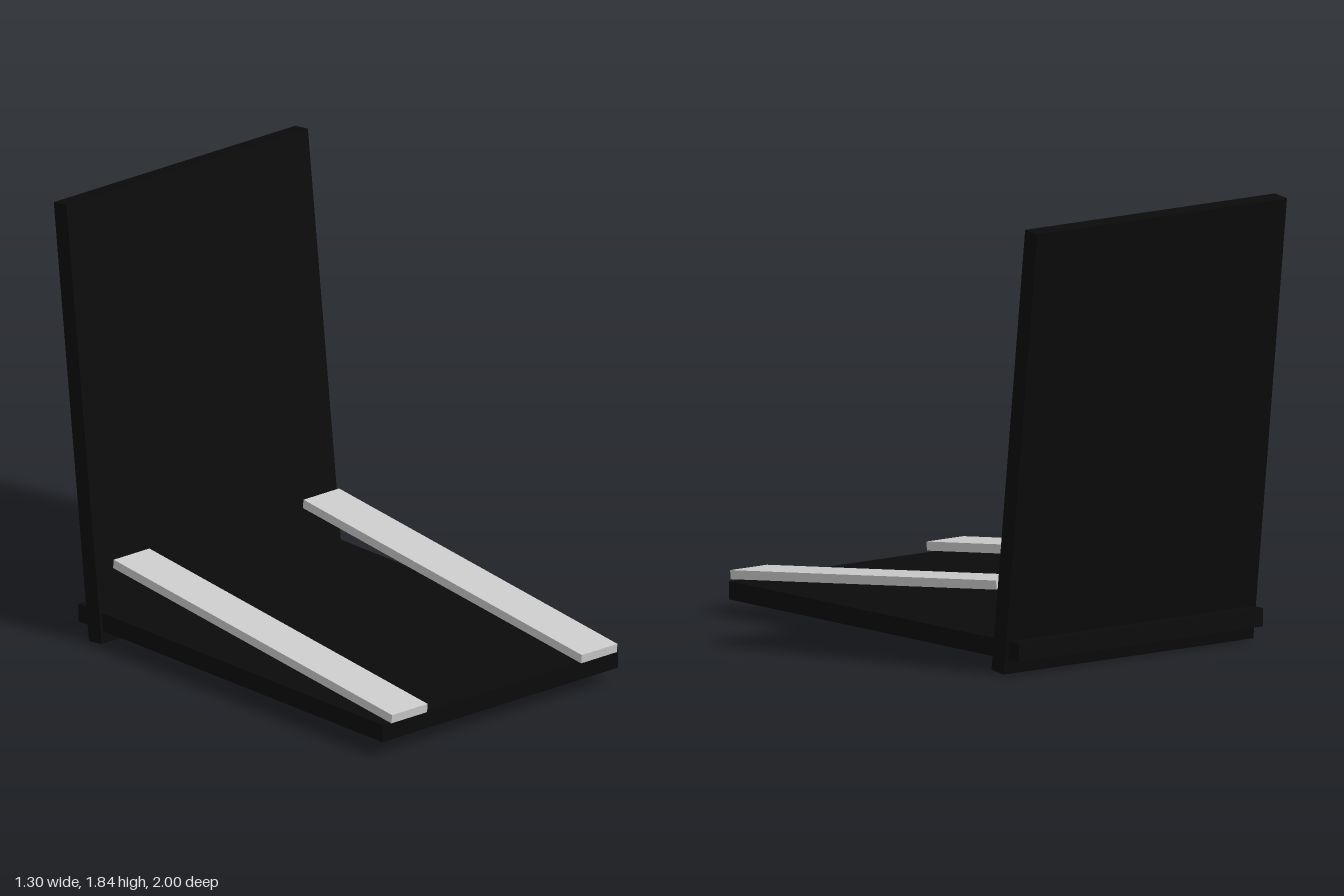
import * as THREE from 'three';

export function createModel() {
  const group = new THREE.Group();
  const black = new THREE.MeshStandardMaterial({ color: 0x0a0a0a });
  const grey = new THREE.MeshStandardMaterial({ color: 0xcccccc });

  // A box slab tilted about the x axis
  function slab(name, material, size, position, tilt = 0) {
    const mesh = new THREE.Mesh(new THREE.BoxGeometry(...size), material);
    mesh.name = name;
    mesh.position.set(...position);
    mesh.rotation.x = tilt;
    group.add(mesh);
  }

  // Flat seat running through the foot of the reclined back
  slab('seat', black, [1.272, 0.075, 1.839], [-0.003, 0.099, 0.058]);
  slab('backrest', black, [1.302, 1.842, 0.077], [0, 0.92, -0.853], -0.116);

  // Sloping armrests, lowest at the front
  slab('leftArmrest', grey, [0.192, 0.037, 1.696], [0.514, 0.253, 0.154], 0.113);
  slab('rightArmrest', grey, [0.192, 0.037, 1.696], [-0.509, 0.253, 0.154], 0.113);

  return group;
}
